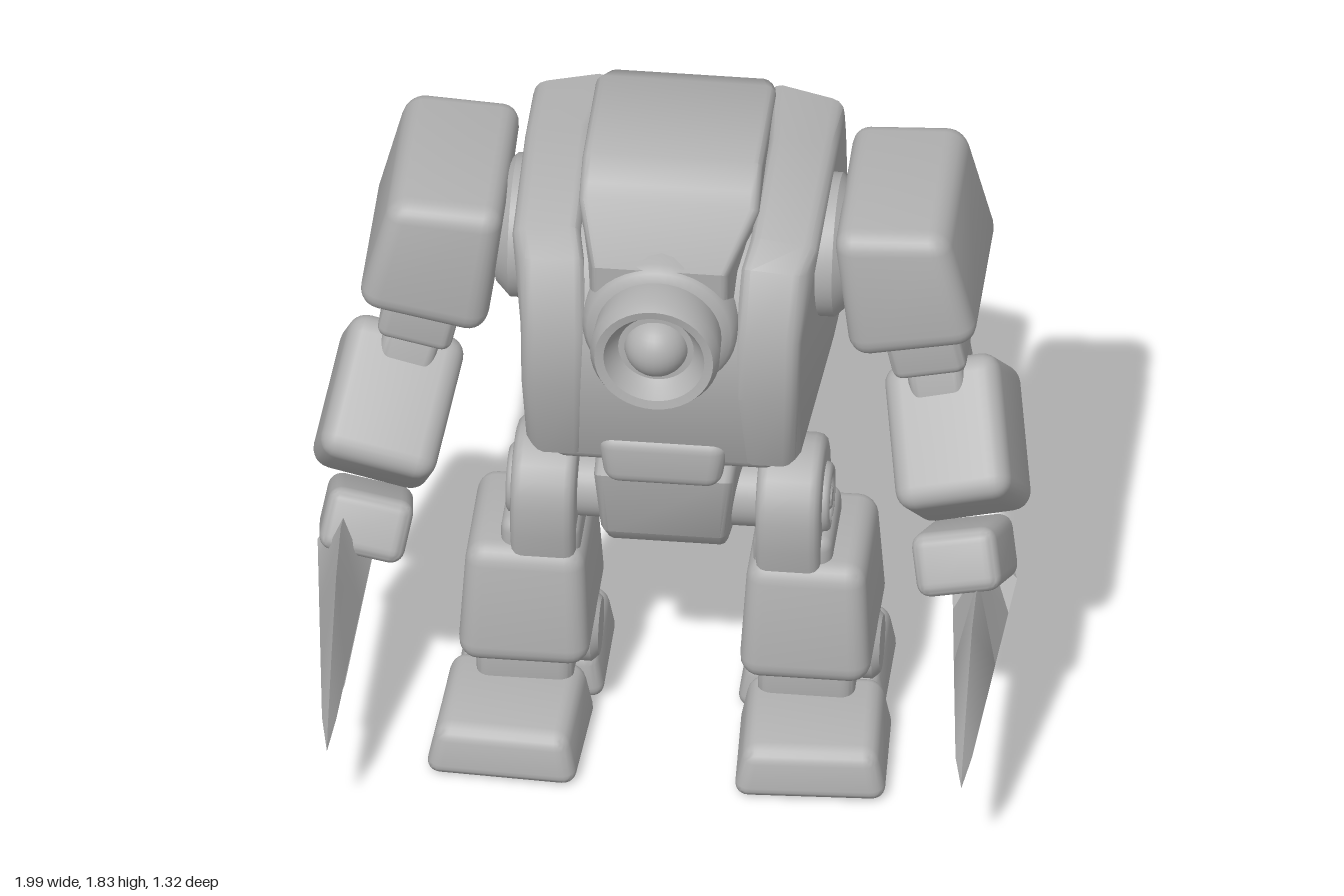
import * as THREE from 'three';
import { toCreasedNormals, mergeVertices } from 'three/addons/utils/BufferGeometryUtils.js';
import { RoundedBoxGeometry } from 'three/addons/geometries/RoundedBoxGeometry.js';

const grey = new THREE.MeshStandardMaterial({ color: 0xb0b0b0 });
grey.name = 'plain grey';
const { smoothstep } = THREE.MathUtils;

function add(parent, name, geometry, pos = [0, 0, 0], rot = [0, 0, 0]) {
  const m = new THREE.Mesh(geometry, grey);
  m.name = name;
  m.position.set(...pos);
  m.rotation.set(...rot, 'ZYX');
  parent.add(m);
}

// Move every vertex by a rule, then rebuild soft normals
function warp(geometry, rule) {
  let g = geometry.clone();
  g.deleteAttribute('normal');
  g.deleteAttribute('uv');
  g = mergeVertices(g, 1e-5);
  const p = g.attributes.position;
  const v = new THREE.Vector3();
  for (let i = 0; i < p.count; i++) {
    rule(v.fromBufferAttribute(p, i));
    p.setXYZ(i, v.x, v.y, v.z);
  }
  return toCreasedNormals(g, 0.7);
}

// Rounded block whose top is scaled by [tx, tz] relative to its base, with an optional extra rule
function block(parent, name, size, pos, { rot, top = [1, 1], r = 0.04, rule = () => {} } = {}) {
  const [w, h, d] = size;
  const g = warp(new RoundedBoxGeometry(w, h, d, 3, r), (v) => {
    const t = v.y / h + 0.5;
    v.x *= 1 + (top[0] - 1) * t;
    v.z *= 1 + (top[1] - 1) * t;
    rule(v);
  });
  add(parent, name, g, pos, rot);
}

// Side profile given as [z, y] points, extruded across x with bevelled edges
function sideExtrude(points, width, bevel, rule = () => {}) {
  const shape = new THREE.Shape(points.map(([z, y]) => new THREE.Vector2(z, y)));
  const g = new THREE.ExtrudeGeometry(shape, {
    depth: width - 2 * bevel, bevelEnabled: true, bevelSize: bevel,
    bevelThickness: bevel, bevelOffset: -bevel, bevelSegments: 3,
  });
  g.translate(0, 0, -(width - 2 * bevel) / 2);
  g.rotateY(-Math.PI / 2);
  return warp(g, rule);
}

// Round bar with chamfered ends, lying along x
function axle(parent, name, radius, length, pos) {
  const h = length / 2, c = radius * 0.2;
  const profile = [[0, -h], [radius - c, -h], [radius, c - h], [radius, h - c], [radius - c, h], [0, h]];
  const g = new THREE.LatheGeometry(profile.map(([x, y]) => new THREE.Vector2(x, y)), 32).rotateZ(Math.PI / 2);
  add(parent, name, toCreasedNormals(g, 0.5), pos);
}

// Blade: smooth upper edge, saw-toothed lower curve, swelling to a ridge on both sides
function blade(upper, curve, teeth, ridge, thick) {
  const vec = ([z, y]) => new THREE.Vector2(z, y);
  const [a, b] = ridge.map(vec);
  const outline = upper.map(vec);
  const c = new THREE.QuadraticBezierCurve(...curve.map(vec));
  const mid = a.clone().lerp(b, 0.4);
  for (let i = 1; i <= teeth; i++) {
    const notch = c.getPoint((i - 0.25) / teeth);
    outline.push(notch.add(mid.clone().sub(notch).setLength(0.035)), c.getPoint(i / teeth));
  }
  const ab = b.clone().sub(a);
  const ridgeAt = (p) => {
    const t = THREE.MathUtils.clamp(p.clone().sub(a).dot(ab) / ab.lengthSq(), 0, 1);
    const q = a.clone().addScaledVector(ab, t);
    return [thick * (1 - 0.75 * t), q.y, q.x];
  };
  const pos = [];
  outline.forEach((p, i) => {
    const n = outline[(i + 1) % outline.length];
    const P = [0, p.y, p.x], N = [0, n.y, n.x], rp = ridgeAt(p), rn = ridgeAt(n);
    const neg = ([x, y, z]) => [-x, y, z];
    pos.push(...P, ...N, ...rn, ...P, ...rn, ...rp);
    pos.push(...N, ...P, ...neg(rn), ...P, ...neg(rp), ...neg(rn));
  });
  const g = new THREE.BufferGeometry();
  g.setAttribute('position', new THREE.Float32BufferAttribute(pos, 3));
  return toCreasedNormals(g, 0.6);
}

function buildTorso(root) {
  const torso = new THREE.Group();
  torso.name = 'torso';
  root.add(torso);
  // Inner core and belly
  add(torso, 'core', sideExtrude([
    [0.165, 0.98], [0.265, 1.27], [0.24, 1.45], [0.17, 1.64], [0.1, 1.69], [-0.3, 1.73],
    [-0.53, 1.7], [-0.6, 1.42], [-0.56, 1.22], [-0.45, 1.1], [-0.36, 1.0],
  ], 0.6, 0.03));
  // Side shells, set apart from the centre strip by grooves
  for (const s of [1, -1]) {
    add(torso, 'sideShell', sideExtrude([
      [0.17, 0.98], [0.27, 1.27], [0.25, 1.45], [0.19, 1.66], [0.12, 1.72], [-0.3, 1.76],
      [-0.56, 1.75], [-0.61, 1.62], [-0.65, 1.42], [-0.61, 1.22], [-0.47, 1.08], [-0.36, 1.02],
    ], 0.19, 0.035, (v) => {
      const out = smoothstep(v.x * s, -0.09, 0.09);
      // Inner wall follows the narrowing strip at the back and the eye at the front
      v.x -= s * (1 - out) * 0.05 * smoothstep(-v.z, 0.48, 0.64);
      v.x -= s * out * (0.05 * smoothstep(v.z, 0.05, 0.27) + 0.04 * smoothstep(-v.y, -1.1, -0.98));
      v.x -= s * (1 - out) * 0.04 * smoothstep(v.z, 0.05, 0.25);
      v.z += out * 0.03 * smoothstep(-v.z, 0.4, 0.6);
      v.y -= out * 0.02 * smoothstep(v.y, 1.6, 1.72);
    }), [s * 0.337, 0, 0]);
  }
  // Raised centre strip running from the eye over the top and down the back
  add(torso, 'spinePanel', sideExtrude([
    [0.25, 1.35], [0.265, 1.69], [0.02, 1.745], [-0.01, 1.78], [-0.08, 1.83], [-0.44, 1.83],
    [-0.54, 1.78], [-0.61, 1.62], [-0.66, 1.42], [-0.62, 1.22], [-0.5, 1.06], [-0.3, 1.06], [0, 1.35],
  ], 0.5, 0.025, (v) => {
    v.x *= 1 - 0.25 * smoothstep(v.z, 0, 0.27) - 0.28 * smoothstep(-v.z, 0.48, 0.64);
  }));
  // Eye barrel
  const profile = [[0.215, 0.1], [0.215, 0.25], [0.2, 0.275], [0.175, 0.285], [0.18, 0.38], [0.165, 0.41],
    [0.14, 0.405], [0.12, 0.37], [0.105, 0.35], [0, 0.35]].map(([r, z]) => new THREE.Vector2(r, z));
  const barrel = toCreasedNormals(new THREE.LatheGeometry(profile, 40).rotateX(Math.PI / 2), 0.7);
  add(torso, 'eyeBarrel', barrel, [0, 1.49, 0]);
  add(torso, 'eyeLens', new THREE.SphereGeometry(0.09, 28, 18), [0, 1.49, 0.33]);
  // Waist and pelvis
  block(torso, 'waist', [0.62, 0.17, 0.6], [0, 1.01, -0.17], { top: [1.1, 1.15] });
  block(torso, 'waistClip', [0.32, 0.16, 0.16], [0, 0.98, 0.12], { top: [1.15, 1] });
  add(torso, 'pelvis', sideExtrude([
    [0.17, 0.91], [0.14, 0.7], [0.06, 0.62], [-0.2, 0.62], [-0.45, 0.69], [-0.48, 0.94], [0.1, 0.94],
  ], 0.52, 0.035, (v) => {
    v.x *= 1 - 0.25 * smoothstep(v.z, -0.32, -0.1);
    v.x *= 1 - 0.12 * smoothstep(-v.y, -0.85, -0.62);
  }));
  axle(torso, 'hipAxle', 0.1, 0.6, [0, 0.74, -0.04]);
}

function buildLeg(root, s) {
  const leg = new THREE.Group();
  leg.name = s > 0 ? 'leftLeg' : 'rightLeg';
  root.add(leg);
  // Thigh with round top and hub
  const arc = [];
  for (let i = 0; i <= 12; i++) {
    const a = (i / 12) * Math.PI;
    arc.push([-0.03 + 0.17 * Math.cos(a), 0.75 + 0.17 * Math.sin(a)]);
  }
  const thigh = sideExtrude([...arc, [-0.2, 0.66], [-0.18, 0.5], [0.1, 0.5], [0.14, 0.66]], 0.18, 0.03);
  add(leg, 'thigh', thigh, [s * 0.34, 0, 0]);
  const ring = new THREE.TorusGeometry(0.08, 0.02, 10, 28).rotateY(Math.PI / 2);
  add(leg, 'hipHubRing', ring, [s * 0.43, 0.74, -0.03]);
  axle(leg, 'hipHub', 0.035, 0.04, [s * 0.43, 0.74, -0.03]);
  block(leg, 'knee', [0.22, 0.14, 0.3], [s * 0.35, 0.61, -0.05]);
  // Shin, ankle and split foot
  block(leg, 'shin', [0.37, 0.37, 0.49], [s * 0.39, 0.42, -0.07], { top: [0.88, 0.82], r: 0.06 });
  block(leg, 'ankle', [0.27, 0.18, 0.34], [s * 0.39, 0.22, -0.04]);
  axle(leg, 'anklePivot', 0.1, 0.38, [s * 0.39, 0.2, -0.1]);
  block(leg, 'frontFoot', [0.43, 0.18, 0.39], [s * 0.42, 0.09, 0.197], {
    rot: [0, s * 0.05, 0], top: [0.84, 0.88], r: 0.045,
    rule: (v) => { v.y -= (v.y + 0.09) * 0.2 * smoothstep(v.z, 0.03, 0.2); },
  });
  block(leg, 'rearFoot', [0.42, 0.15, 0.36], [s * 0.39, 0.075, -0.197], { top: [0.86, 0.94] });
}

function buildArm(root, s) {
  const arm = new THREE.Group();
  arm.name = s > 0 ? 'leftArm' : 'rightArm';
  root.add(arm);
  axle(arm, 'shoulderDisc', 0.2, 0.14, [s * 0.42, 1.48, -0.2]);
  // Shoulder leans inward and its underside rises outward
  block(arm, 'shoulder', [0.36, 0.4, 0.58], [s * 0.65, 1.515, -0.21], {
    top: [0.88, 0.94], r: 0.06,
    rule: (v) => {
      const x = v.x;
      v.x -= s * v.y * 0.18;
      v.y += s * x * (0.13 - 0.4 * v.y) - 0.02 * smoothstep(v.z, -0.1, 0.27) * smoothstep(v.y, 0, 0.2);
    },
  });
  block(arm, 'upperArm', [0.21, 0.18, 0.31], [s * 0.7, 1.24, -0.2], { rot: [0, 0, s * 0.22], r: 0.03 });
  block(arm, 'elbow', [0.16, 0.2, 0.2], [s * 0.73, 1.13, -0.17], { rot: [-0.3, 0, s * 0.22], r: 0.03 });
  block(arm, 'forearm', [0.33, 0.41, 0.32], [s * 0.79, 0.92, -0.1], { rot: [-0.78, 0, s * 0.24], r: 0.055 });
  block(arm, 'wrist', [0.24, 0.18, 0.31], [s * 0.83, 0.665, 0.1], { rot: [-0.48, 0, s * 0.2] });
  const at = [s * 0.88, 0, 0];
  if (s > 0) {
    // Single broad fan blade
    add(arm, 'fanBlade', blade(
      [[-0.33, 0.47], [-0.18, 0.52], [-0.06, 0.57], [0.22, 0.68], [0.38, 0.62], [0.53, 0.46], [0.64, 0.33], [0.66, 0.28], [0.52, 0.27]],
      [[0.52, 0.27], [0.05, 0.06], [-0.33, 0.47]], 9, [[0.05, 0.56], [0.6, 0.34]], 0.09), at);
  } else {
    // Open pair of blades
    add(arm, 'upperBlade', blade(
      [[0.02, 0.56], [0.14, 0.74], [0.3, 0.77], [0.42, 0.69], [0.54, 0.51], [0.64, 0.33], [0.66, 0.27], [0.58, 0.3]],
      [[0.58, 0.3], [0.34, 0.36], [0.1, 0.5]], 6, [[0.15, 0.62], [0.6, 0.34]], 0.08), at);
    add(arm, 'lowerBlade', blade(
      [[-0.22, 0.46], [-0.04, 0.59], [0.08, 0.61], [0.2, 0.47], [0.34, 0.32], [0.41, 0.25]],
      [[0.41, 0.25], [0, 0.21], [-0.22, 0.46]], 7, [[0.02, 0.54], [0.36, 0.28]], 0.07), at);
  }
}

export function createModel() {
  const root = new THREE.Group();
  root.name = 'clawedWalker';
  buildTorso(root);
  for (const s of [1, -1]) {
    buildLeg(root, s);
    buildArm(root, s);
  }
  return root;
}
